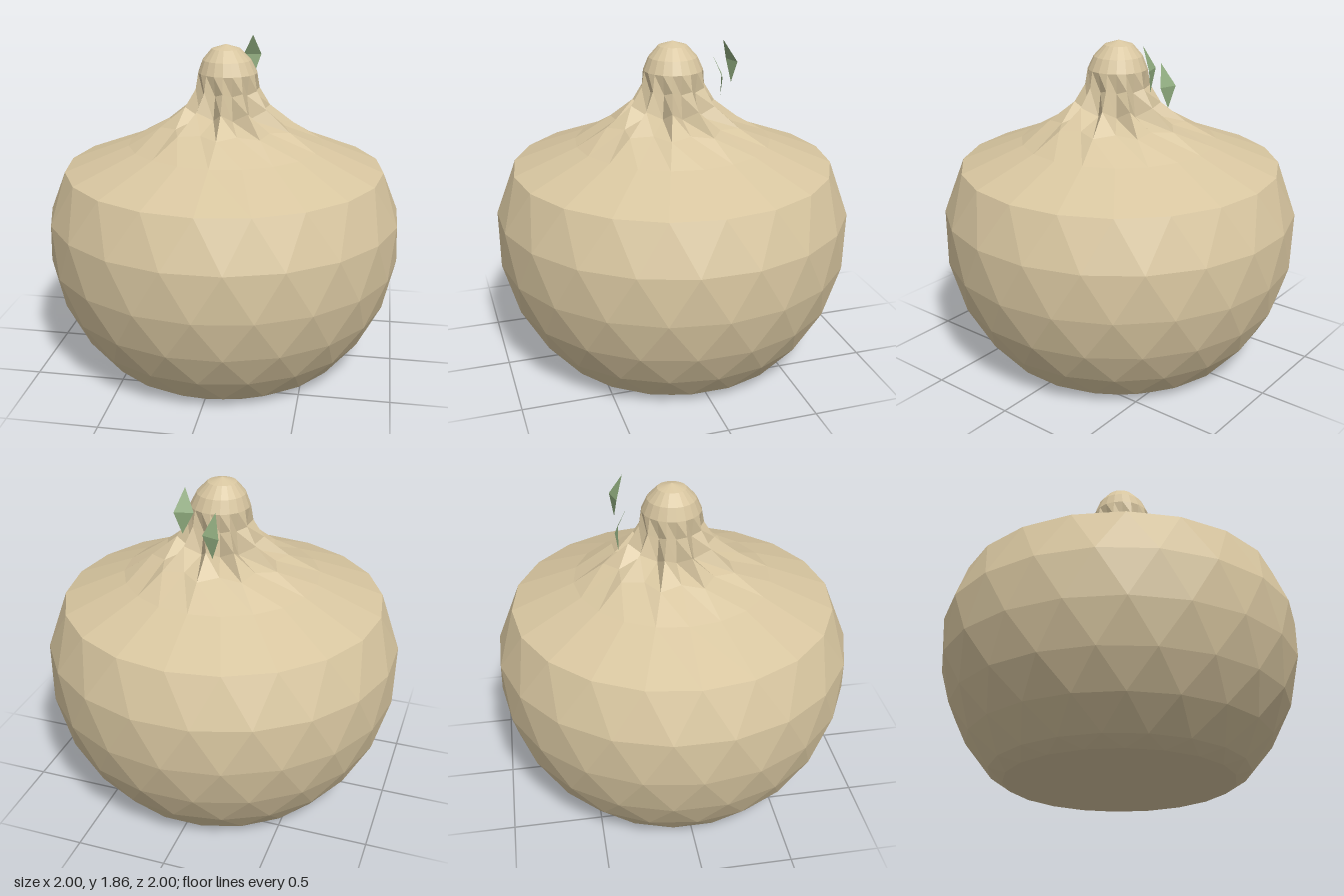
import * as THREE from 'three';

const SEGMENTS = 20;
const skin = new THREE.MeshStandardMaterial({ color: 0xd8c6a0, flatShading: true });
const green = new THREE.MeshStandardMaterial({ color: 0x8fab7e, flatShading: true, side: THREE.DoubleSide });

// One ring of points; odd points may use a second radius and height (fluting).
function ring({ r, y, r2 = r, y2 = y, cx = 0, shift = 0 }) {
  const points = [];
  for (let i = 0; i < SEGMENTS; i++) {
    const a = ((i + shift) / SEGMENTS) * Math.PI * 2;
    const rad = i % 2 ? r2 : r;
    points.push([cx + Math.sin(a) * rad, i % 2 ? y2 : y, Math.cos(a) * rad]);
  }
  return points;
}

function meshFrom(name, positions, material) {
  const geometry = new THREE.BufferGeometry();
  geometry.setAttribute('position', new THREE.Float32BufferAttribute(positions, 3));
  geometry.computeVertexNormals();
  const mesh = new THREE.Mesh(geometry, material);
  mesh.name = name;
  return mesh;
}

// Joins rings from bottom to top with triangles.
function loft(name, specs) {
  const rings = specs.map(ring);
  const out = [];
  const tri = (...pts) => pts.forEach((p) => out.push(...p));
  for (let k = 0; k + 1 < rings.length; k++) {
    const low = rings[k], high = rings[k + 1];
    for (let i = 0; i < SEGMENTS; i++) {
      const j = (i + 1) % SEGMENTS;
      if ((specs[k].shift || 0) > (specs[k + 1].shift || 0)) {
        tri(low[i], high[j], high[i]);
        tri(low[i], low[j], high[j]);
      } else {
        tri(low[i], low[j], high[i]);
        tri(high[i], low[j], high[j]);
      }
    }
  }
  return meshFrom(name, out, skin);
}

export function createModel() {
  const model = new THREE.Group();
  model.name = 'bulb';

  // Round body with a flat base and staggered facets
  model.add(loft('body', [
    { r: 0, y: 0 },
    { r: 0.63, y: 0 },
    { r: 0.71, y: 0.05, shift: 0.5 },
    { r: 0.84, y: 0.21 },
    { r: 0.94, y: 0.4, shift: 0.5 },
    { r: 1.0, y: 0.63 },
    { r: 1.0, y: 0.89, shift: 0.5 },
    { r: 0.9, y: 1.15 },
  ]));

  // Sloping shoulder that gathers into ten pointed ridges
  model.add(loft('shoulder', [
    { r: 0.9, y: 1.15 },
    { r: 0.55, y: 1.29, cx: 0.01 },
    { r: 0.38, y: 1.39, r2: 0.32, y2: 1.4, cx: 0.02 },
    { r: 0.24, y: 1.5, r2: 0.17, y2: 1.45, cx: 0.02 },
    { r: 0.18, y: 1.6, r2: 0.15, y2: 1.58, cx: 0.02 },
  ]));

  // Rounded knob on top
  model.add(loft('knob', [
    { r: 0.18, y: 1.6, r2: 0.15, y2: 1.58, cx: 0.02 },
    { r: 0.165, y: 1.69, cx: 0.02 },
    { r: 0.135, y: 1.76, cx: 0.015 },
    { r: 0.08, y: 1.82, cx: 0.01 },
    { r: 0, y: 1.845, cx: 0.01 },
  ]));

  // Two small folded leaves behind the knob
  const addLeaf = (name, x, y, side) => {
    const top = [x, y + 0.12, -0.25];
    const inner = [x - side * 0.06, y, -0.29];
    const outer = [x + side * 0.04, y, -0.32];
    const bottom = [x, y - 0.12, -0.3];
    model.add(meshFrom(name, [top, outer, inner, bottom, inner, outer].flat(), green));
  };
  addLeaf('leftLeaf', 0.125, 1.74, 1);
  addLeaf('rightLeaf', -0.04, 1.62, -1);

  return model;
}
